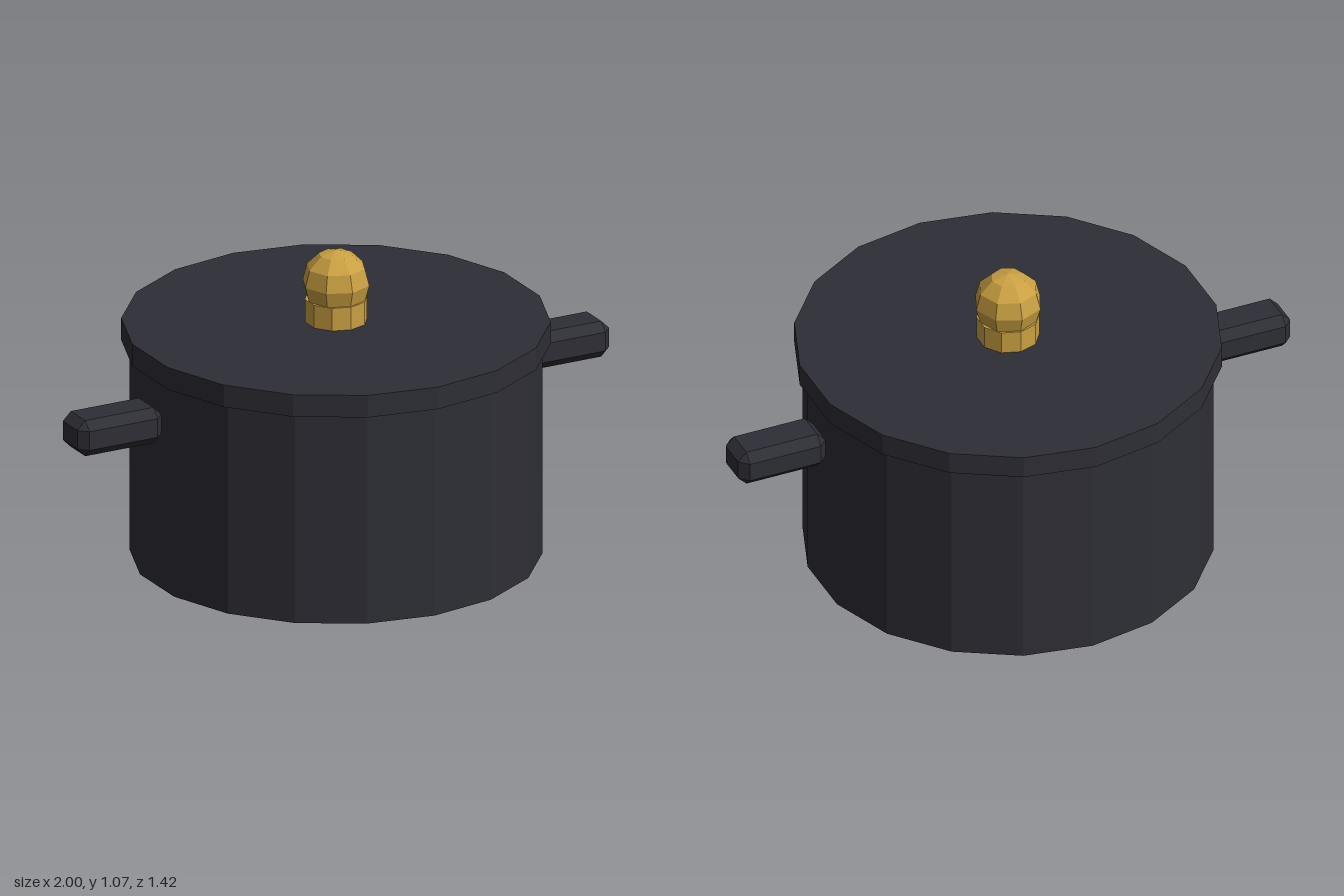
import * as THREE from 'three';
import { ConvexGeometry } from 'three/addons/geometries/ConvexGeometry.js';

// Box with evenly chamfered edges and corners
function chamferedBox(w, h, d, c) {
  const points = [];
  for (const x of [-w / 2, w / 2]) for (const y of [-h / 2, h / 2]) for (const z of [-d / 2, d / 2]) {
    const ix = x - Math.sign(x) * c, iy = y - Math.sign(y) * c, iz = z - Math.sign(z) * c;
    points.push(
      new THREE.Vector3(x, iy, iz),
      new THREE.Vector3(ix, y, iz),
      new THREE.Vector3(ix, iy, z),
    );
  }
  return new ConvexGeometry(points);
}

export function createModel() {
  const iron = new THREE.MeshStandardMaterial({ color: 0x2e2e36, flatShading: true });
  iron.name = 'dark iron';
  const brass = new THREE.MeshStandardMaterial({ color: 0xcaa042, flatShading: true });
  brass.name = 'brass';

  const pot = new THREE.Group();
  pot.name = 'cookingPot';

  function add(name, geometry, material, x, y) {
    const mesh = new THREE.Mesh(geometry, material);
    mesh.name = name;
    mesh.position.set(x, y, 0);
    pot.add(mesh);
    return mesh;
  }

  // Upright prism standing between two heights
  function prism(name, radius, bottom, top, sides, material) {
    const geometry = new THREE.CylinderGeometry(radius, radius, top - bottom, sides);
    return add(name, geometry, material, 0, (bottom + top) / 2);
  }

  // Body and overhanging lid
  prism('body', 0.683, 0, 0.74, 18, iron);
  prism('lid', 0.71, 0.739, 0.817, 18, iron);

  // Lid knob
  prism('knobStem', 0.105, 0.817, 0.897, 10, brass);
  add('knobBall', new THREE.SphereGeometry(0.115, 8, 6), brass, 0, 0.95);

  // Side handles
  for (const [name, side] of [['leftHandle', 1], ['rightHandle', -1]]) {
    add(name, chamferedBox(0.316, 0.126, 0.16, 0.03), iron, side * 0.842, 0.591);
  }

  return pot;
}
